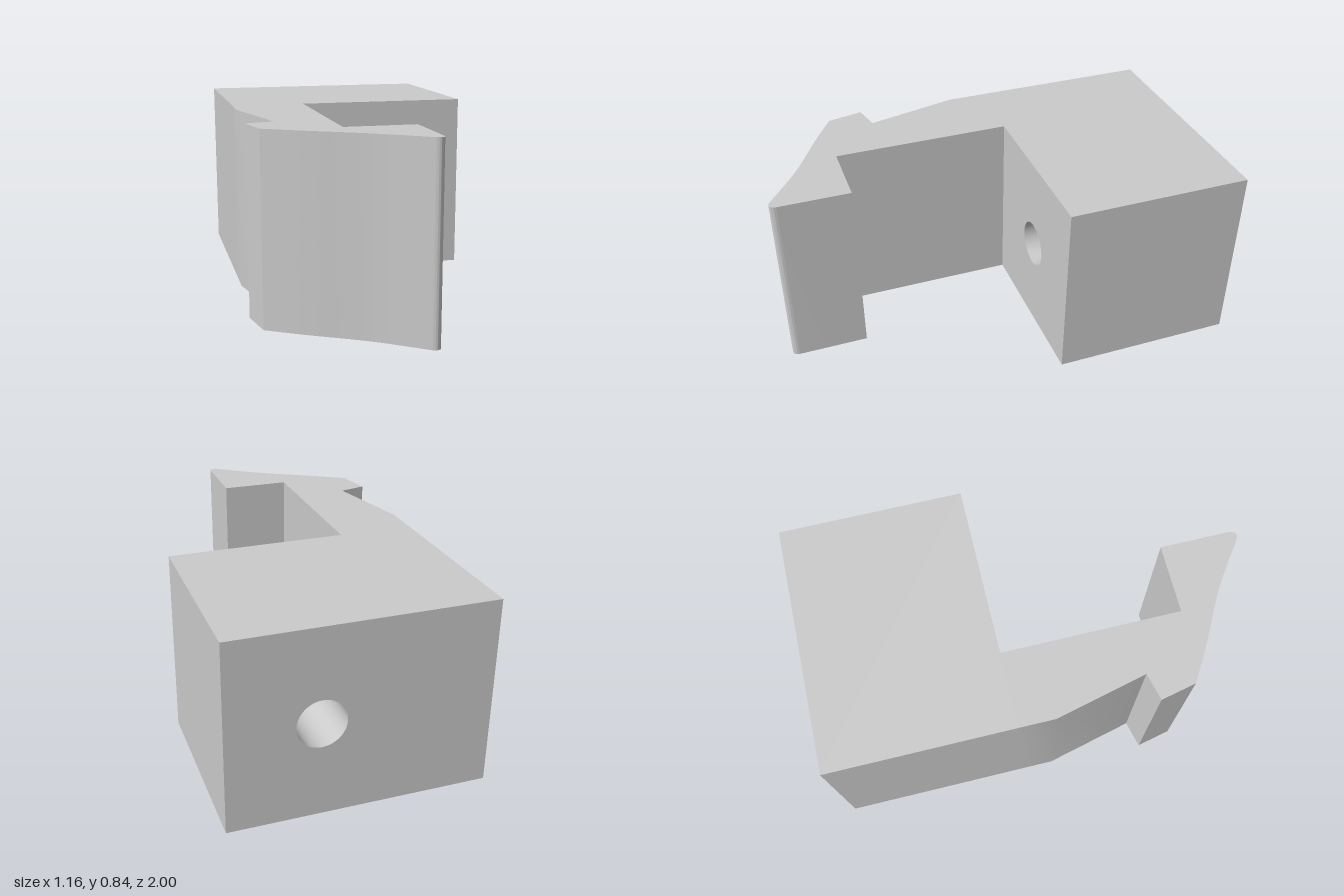
import * as THREE from 'three';
import { toCreasedNormals } from 'three/addons/utils/BufferGeometryUtils.js';

const HEIGHT = 0.84;
const BLOCK_FRONT = -0.163;

function extrude(shape, depth) {
  return new THREE.ExtrudeGeometry(shape, { depth, bevelEnabled: false, curveSegments: 32 });
}

export function createModel() {
  const group = new THREE.Group();
  const material = new THREE.MeshStandardMaterial({ color: 0xcccccc });
  const add = (name, geometry) => {
    const mesh = new THREE.Mesh(toCreasedNormals(geometry, 0.4), material);
    mesh.name = name;
    group.add(mesh);
  };

  // Solid block with a round hole running front to back
  const face = new THREE.Shape();
  face.moveTo(-0.555, 0);
  face.lineTo(0.578, 0);
  face.lineTo(0.578, HEIGHT);
  face.lineTo(-0.555, HEIGHT);
  face.closePath();
  face.holes.push(new THREE.Path().absarc(0.183, 0.422, 0.106, 0, Math.PI * 2, true));
  add('mountingBlock', extrude(face, 1 + BLOCK_FRONT).translate(0, 0, -1));

  // Clip arm: plan outline (x, -z) with barb, sloping nose and inner hook
  const plan = new THREE.Shape();
  plan.moveTo(-0.215, -BLOCK_FRONT);
  plan.lineTo(-0.555, -BLOCK_FRONT);
  plan.lineTo(-0.555, 0);
  plan.lineTo(-0.455, -0.42);
  plan.lineTo(-0.58, -0.45);
  plan.lineTo(-0.545, -0.612);
  plan.splineThru([
    new THREE.Vector2(-0.39, -0.707),
    new THREE.Vector2(-0.15, -0.843),
    new THREE.Vector2(0.058, -0.992),
  ]);
  // Rounded nose tip
  plan.bezierCurveTo(0.078, -1.006, 0.1, -0.995, 0.1, -0.968);
  plan.lineTo(0.1, -0.648);
  plan.lineTo(-0.215, -0.648);
  plan.closePath();
  add('clipArm', extrude(plan, HEIGHT).rotateX(-Math.PI / 2));

  return group;
}
